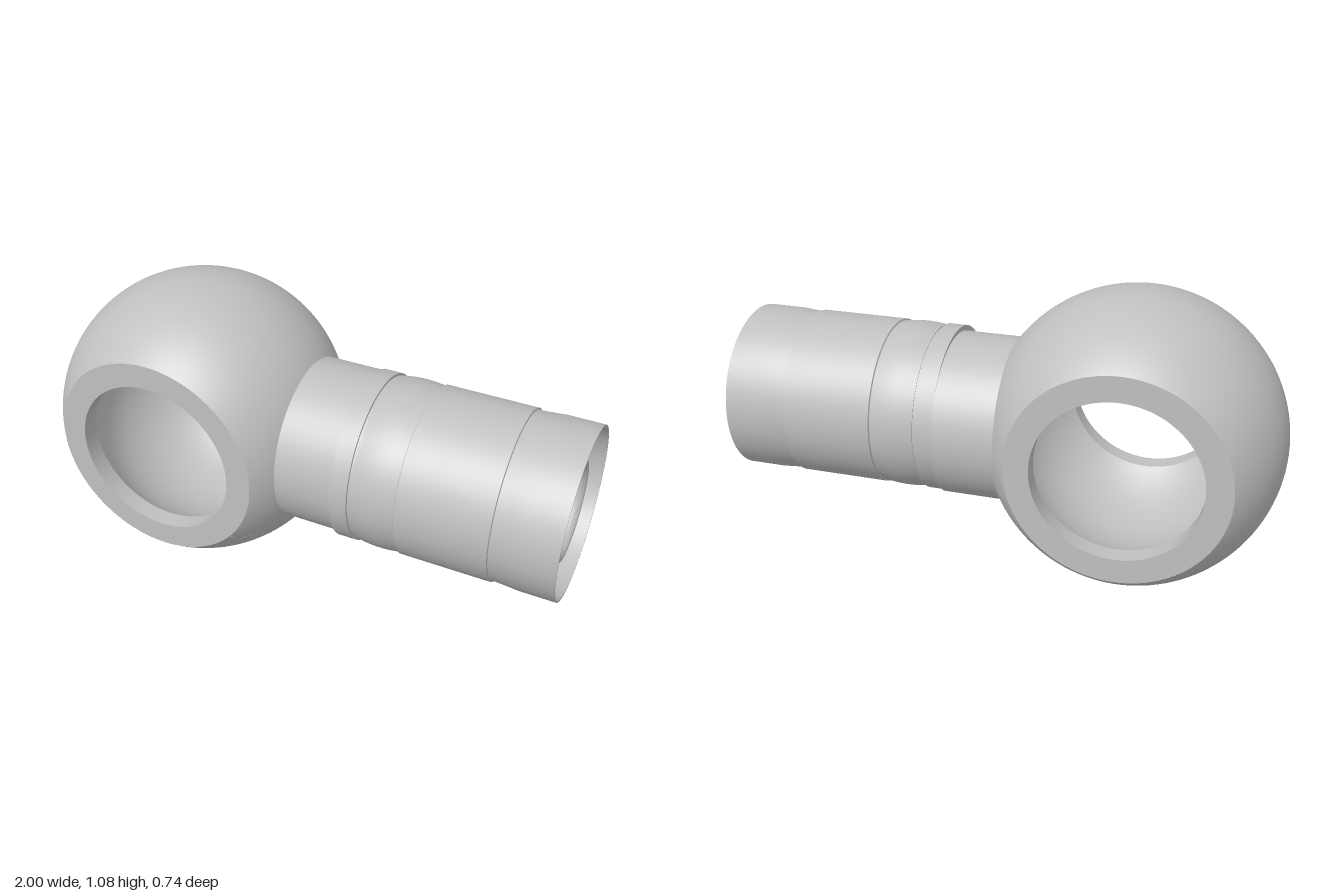
import * as THREE from 'three';
import { toCreasedNormals } from 'three/addons/utils/BufferGeometryUtils.js';

const BALL = [-0.462, 0.54, 0];
const OFF = [0.008, 0.0125]; // y and z offset of the sleeve axis from the ball axis

export function createModel() {
  const group = new THREE.Group();
  const steel = new THREE.MeshStandardMaterial({ color: 0xc0c0c0, side: THREE.DoubleSide });
  steel.name = 'steel grey';

  const add = (name, geo, pos) => {
    const mesh = new THREE.Mesh(geo, steel);
    mesh.name = name;
    mesh.position.set(...pos);
    group.add(mesh);
    return mesh;
  };

  // Turned part about the x axis, profile given as [x, radius]
  const turned = (name, profile, y, z) => {
    const pts = profile.map(([x, r]) => new THREE.Vector2(r, x));
    const geo = new THREE.LatheGeometry(pts, 96).rotateZ(-Math.PI / 2);
    return add(name, toCreasedNormals(geo, 0.5), [0, y, z]);
  };

  // Grid warped onto a sphere, with exact normals
  const sphereGrid = (nu, nv, R, inward, fn) => {
    const geo = new THREE.PlaneGeometry(1, 1, nu, nv);
    const { position: p, normal: n, uv } = geo.attributes;
    const s = inward ? -1 : 1;
    for (let i = 0; i < p.count; i++) {
      const u = inward ? 1 - uv.getX(i) : uv.getX(i);
      const [theta, z] = fn(u, uv.getY(i));
      const r = Math.sqrt(R * R - z * z);
      const x = r * Math.cos(theta), y = r * Math.sin(theta);
      p.setXYZ(i, x, y, z);
      n.setXYZ(i, s * x / R, s * y / R, s * z / R);
    }
    return geo;
  };

  // Sphere truncated at z = +-H, with a round bore on its +x side
  const shell = (name, R, H, hole, inward) => {
    const T = 0.7;
    add(name + 'Band', sphereGrid(96, 40, R, inward, (u, v) =>
      [T + u * (2 * Math.PI - 2 * T), (2 * v - 1) * H]), BALL);
    add(name + 'BoreSide', sphereGrid(96, 16, R, inward, (u, v) => {
      const a = u * 2 * Math.PI, c = Math.cos(a), s = Math.sin(a);
      const m = Math.max(Math.abs(c), Math.abs(s));
      const hy = OFF[0] + hole * c, hz = OFF[1] + hole * s;
      const ht = Math.asin(hy / Math.sqrt(R * R - hz * hz));
      const k = 1 - v;
      return [ht + (c / m * T - ht) * k, hz + (s / m * H - hz) * k];
    }), BALL);
  };
  shell('ball', 0.538, 0.372, 0.146, false);
  shell('cavity', 0.426, 0.305, 0.146, true);

  // Flat faces and short cylindrical lips on both sides of the ball
  for (const side of [1, -1]) {
    const flat = new THREE.RingGeometry(0.297, 0.3887, 96);
    const lip = new THREE.CylinderGeometry(0.297, 0.297, 0.067, 96, 1, true).rotateX(Math.PI / 2);
    if (side < 0) flat.rotateY(Math.PI);
    add('flatFace', flat, [BALL[0], BALL[1], side * 0.372]);
    add('holeLip', lip, [BALL[0], BALL[1], side * 0.3385]);
  }

  // Neck between the ball and the sleeve
  turned('neck', [[-0.05, 0.301], [0.205, 0.301], [0.205, 0.25]], 0.541, -0.002);

  // Crimped sleeve: outside, open end and tapered inside wall
  const crimp = [];
  for (let i = 0; i <= 12; i++) {
    crimp.push([0.28 + 0.16 * i / 12, 0.303 + 0.007 * Math.sin(Math.PI * i / 12)]);
  }
  turned('sleeve', [
    [0.205, 0.26], [0.205, 0.309], [0.27, 0.309], [0.27, 0.3], [0.28, 0.3],
    ...crimp, [0.443, 0.309], [0.77, 0.309], [0.772, 0.302], [0.82, 0.305],
    [0.87, 0.309], [1, 0.309], [1, 0.302], [0.78, 0.277], [0.78, 0.16],
  ], BALL[1] + OFF[0], OFF[1]);

  // Nozzle with rounded end, and the bore leading back to the cavity
  const nozzle = [[0.78, 0.197]];
  for (let i = 0; i <= 16; i++) {
    const a = Math.PI * i / 16;
    nozzle.push([0.935 + 0.036 * Math.sin(a), 0.1715 + 0.0255 * Math.cos(a)]);
  }
  nozzle.push([-0.063, 0.146]);
  turned('nozzle', nozzle, BALL[1] + OFF[0], OFF[1]);

  return group;
}
